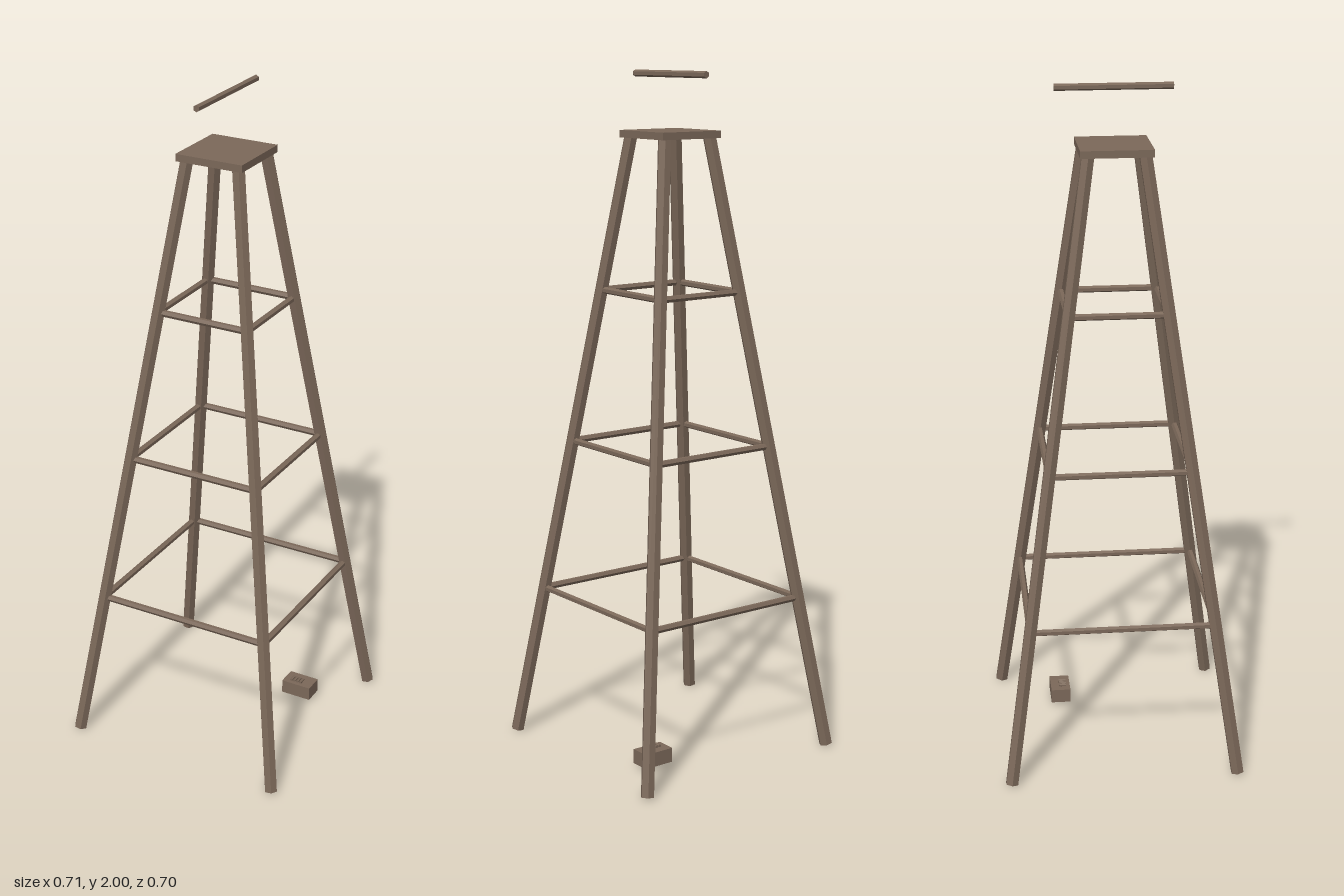
import * as THREE from 'three';

export function createModel() {
  const model = new THREE.Group();
  const wood = new THREE.MeshStandardMaterial({ color: 0x7b6859, flatShading: true });
  wood.name = 'weathered wood';
  const UP = new THREE.Vector3(0, 1, 0);

  // Six-sided pole between two points
  function pole(name, a, b, radius, turn = 0) {
    const from = new THREE.Vector3(...a), to = new THREE.Vector3(...b);
    const dir = to.clone().sub(from);
    const geometry = new THREE.CylinderGeometry(radius, radius, dir.length(), 6);
    geometry.rotateY(turn);
    const mesh = new THREE.Mesh(geometry, wood);
    mesh.name = name;
    mesh.position.copy(from).add(to).multiplyScalar(0.5);
    mesh.quaternion.setFromUnitVectors(UP, dir.normalize());
    model.add(mesh);
  }

  function box(name, size, position) {
    const mesh = new THREE.Mesh(new THREE.BoxGeometry(...size), wood);
    mesh.name = name;
    mesh.position.set(...position);
    model.add(mesh);
  }

  // Four splayed legs
  const foot = 0.335, head = 0.08, footY = 0.004, headY = 1.815;
  for (const sx of [-1, 1]) {
    for (const sz of [-1, 1]) {
      pole('leg', [sx * foot, footY, sz * foot], [sx * head, headY, sz * head], 0.02, Math.PI / 6);
    }
  }

  // Three square rings of rungs joining the legs
  for (const y of [0.46, 0.917, 1.37]) {
    const r = THREE.MathUtils.mapLinear(y, footY, headY, foot, head);
    for (const s of [-1, 1]) {
      pole('rungAcross', [-r, y, s * r], [r, y, s * r], 0.01);
      pole('rungAlong', [s * r, y, -r], [s * r, y, r], 0.01);
    }
  }

  // Top platform and the bar hovering above it
  box('platform', [0.207, 0.021, 0.207], [0, 1.821, 0]);
  pole('topBar', [0, 1.99, -0.167], [0, 1.99, 0.167], 0.01);

  // Small box beside the back left leg, with a row of sticks on its lid
  box('smallBox', [0.096, 0.043, 0.06], [0.181, 0.033, -0.155]);
  for (let i = 0; i < 4; i++) {
    const x = 0.159 + i * 0.0105;
    pole('stick', [x, 0.058, -0.159], [x, 0.058, -0.137], 0.0045);
  }

  return model;
}
